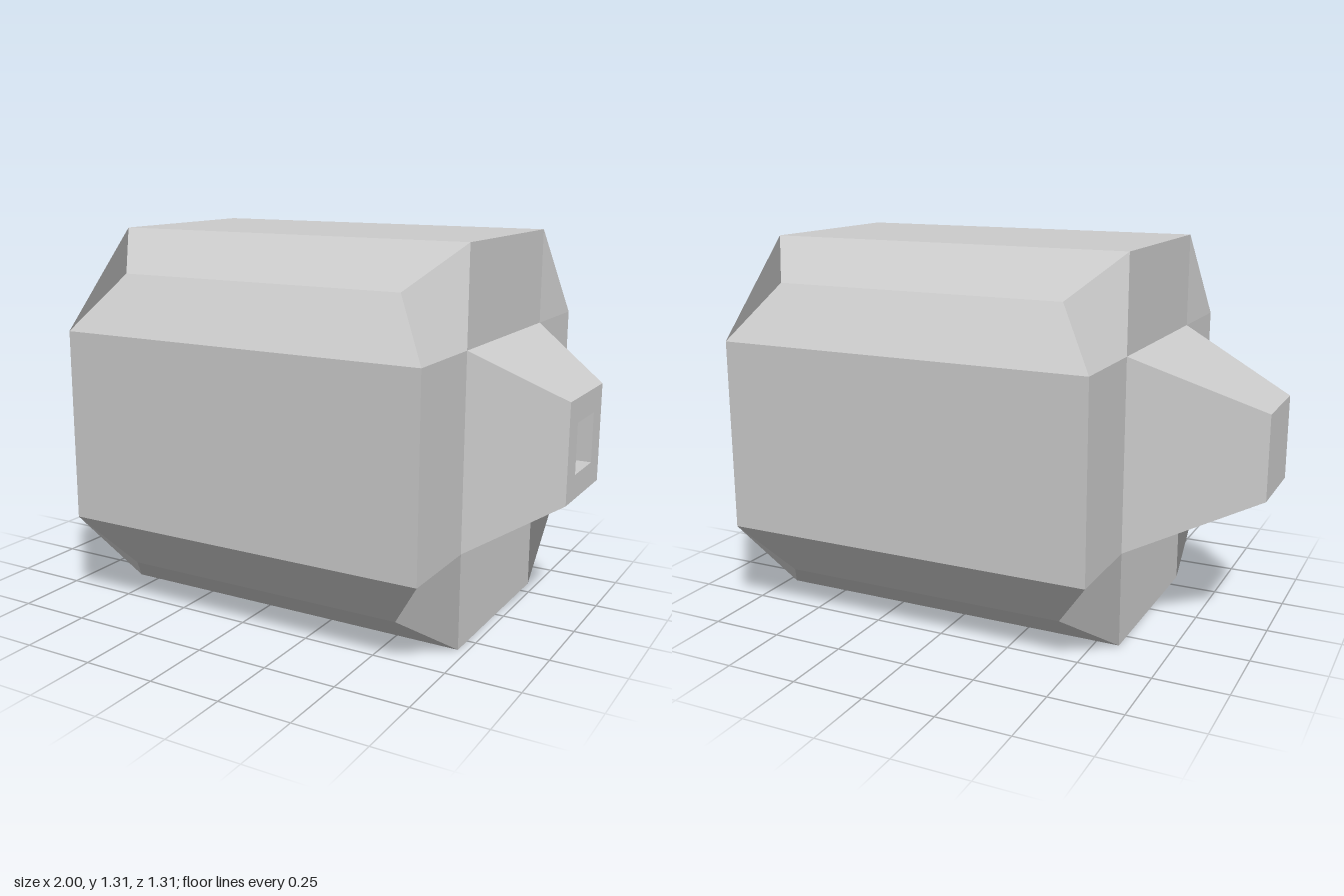
import * as THREE from 'three';

const CY = 0.653;              // height of the long axis
const R = 0.653, I = 0.327;    // body half-width and half-width of its flat sides
const M = 0.515;               // bevel ridge
const XL = -0.58, XR = 0.72;   // body ends
const ML = -0.44, MR = 0.585;  // ridge ends, set in from the body ends

// Repeats a quarter's faces four times around the x axis; each face has one flat normal.
function quarterMesh(name, faces) {
  const pos = [], nor = [];
  for (let k = 0; k < 4; k++) {
    for (const face of faces) {
      const p = face.map(([x, y, z]) => {
        for (let i = 0; i < k; i++) [y, z] = [-z, y];
        return new THREE.Vector3(x, y, z);
      });
      const n = new THREE.Vector3();
      p.forEach((a, i) => n.add(a.clone().cross(p[(i + 1) % p.length])));
      n.normalize();
      for (let i = 1; i < p.length - 1; i++) {
        for (const v of [p[0], p[i], p[i + 1]]) {
          pos.push(v.x, v.y, v.z);
          nor.push(n.x, n.y, n.z);
        }
      }
    }
  }
  const g = new THREE.BufferGeometry();
  g.setAttribute('position', new THREE.Float32BufferAttribute(pos, 3));
  g.setAttribute('normal', new THREE.Float32BufferAttribute(nor, 3));
  const mesh = new THREE.Mesh(g, new THREE.MeshStandardMaterial({ color: 0xcccccc }));
  mesh.name = name;
  return mesh;
}

// Turns a face around while keeping its first corner
const flip = ([first, ...rest]) => [first, ...rest.reverse()];

// Flat arm and folded corner of a body end, facing +x
const endFaces = (x, mx) => [
  [[x, I, -I], [x, R, -I], [x, R, I], [x, I, I]],
  [[x, R, I], [mx, M, M], [x, I, R], [x, I, I]],
];

// Strip between two squares on the x axis
const strip = (x0, h0, x1, h1) => [[x0, h0, -h0], [x0, h0, h0], [x1, h1, h1], [x1, h1, -h1]];
// Quarter of a square that closes an end
const cap = (x, h) => [[x, h, -h], [x, h, h], [x, 0, 0]];

export function createModel() {
  const group = new THREE.Group();
  group.name = 'model';

  // Body: flat side, two bevel strips and both ends
  group.add(quarterMesh('body', [
    [[XL, R, -I], [XL, R, I], [XR, R, I], [XR, R, -I]],
    [[XL, R, I], [ML, M, M], [MR, M, M], [XR, R, I]],
    [[ML, M, M], [XL, I, R], [XR, I, R], [MR, M, M]],
    ...endFaces(XR, MR),
    ...endFaces(XL, ML).map(flip),
  ]));

  // Left end: tapered block with a square socket
  const t = 0.167, b = 0.085, depth = 0.72;
  group.add(quarterMesh('socketEnd', [
    strip(XR, I, 1, t),
    strip(1, t, 1, b),
    strip(1, b, depth, b),
    cap(depth, b),
  ]));

  // Right end: closed, longer taper
  const s = 0.145;
  group.add(quarterMesh('closedEnd', [strip(XL, I, -1, s), cap(-1, s)].map(flip)));

  group.children.forEach((m) => { m.position.y = CY; });
  return group;
}
